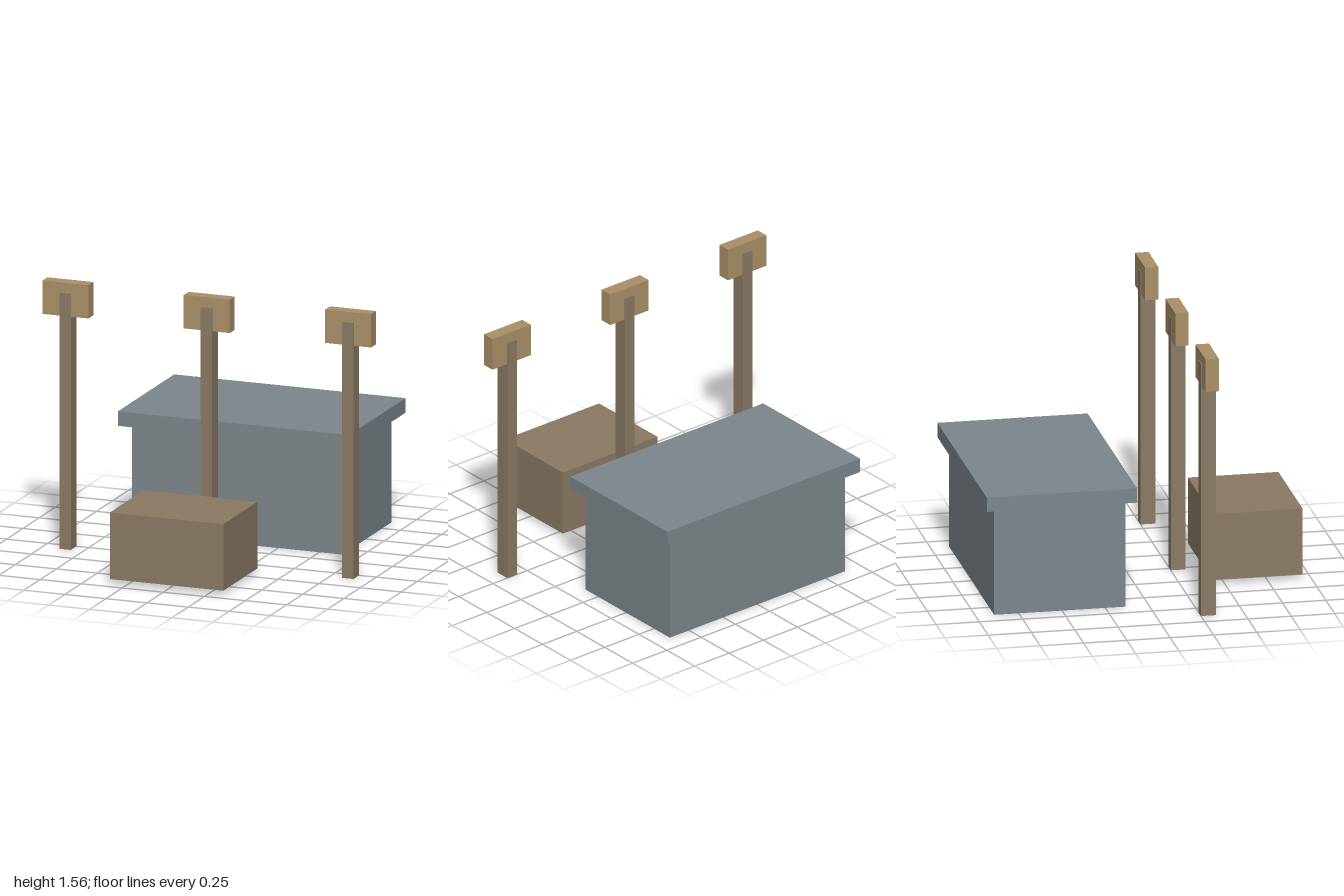
import * as THREE from 'three';

const material = (name, color) => {
  const m = new THREE.MeshStandardMaterial({ color });
  m.name = name;
  return m;
};

export function createModel() {
  const model = new THREE.Group();
  const stone = material('grey stone', 0x7c868b);
  const wood = material('brown wood', 0x8a7a65);
  const paleWood = material('pale wood', 0xaa9069);

  // Box placed by its centre in x and z and by its bottom and top in y
  const box = (parent, name, mat, [w, d], [y0, y1], [x, z]) => {
    const mesh = new THREE.Mesh(new THREE.BoxGeometry(w, y1 - y0, d), mat);
    mesh.name = name;
    mesh.position.set(x, (y0 + y1) / 2, z);
    parent.add(mesh);
  };

  // Large block with an overhanging slab
  const counter = new THREE.Group();
  counter.name = 'counter';
  box(counter, 'counterBody', stone, [1.28, 0.757], [0, 0.635], [0, -0.514]);
  box(counter, 'counterTop', stone, [1.408, 0.868], [0.635, 0.72], [0, -0.514]);
  model.add(counter);

  // Crate in front, raised slightly off the ground
  box(model, 'crate', wood, [0.69, 0.523], [0.03, 0.42], [0, 0.687]);

  // Row of three signposts; each post stands just proud of its board
  for (const x of [-0.86, 0, 0.86]) {
    const signpost = new THREE.Group();
    signpost.name = 'signpost';
    signpost.position.set(x, 0, 0.293);
    box(signpost, 'post', wood, [0.07, 0.086], [0, 1.5], [0, 0]);
    box(signpost, 'signBoard', paleWood, [0.28, 0.077], [1.365, 1.56], [0, 0]);
    model.add(signpost);
  }
  return model;
}
